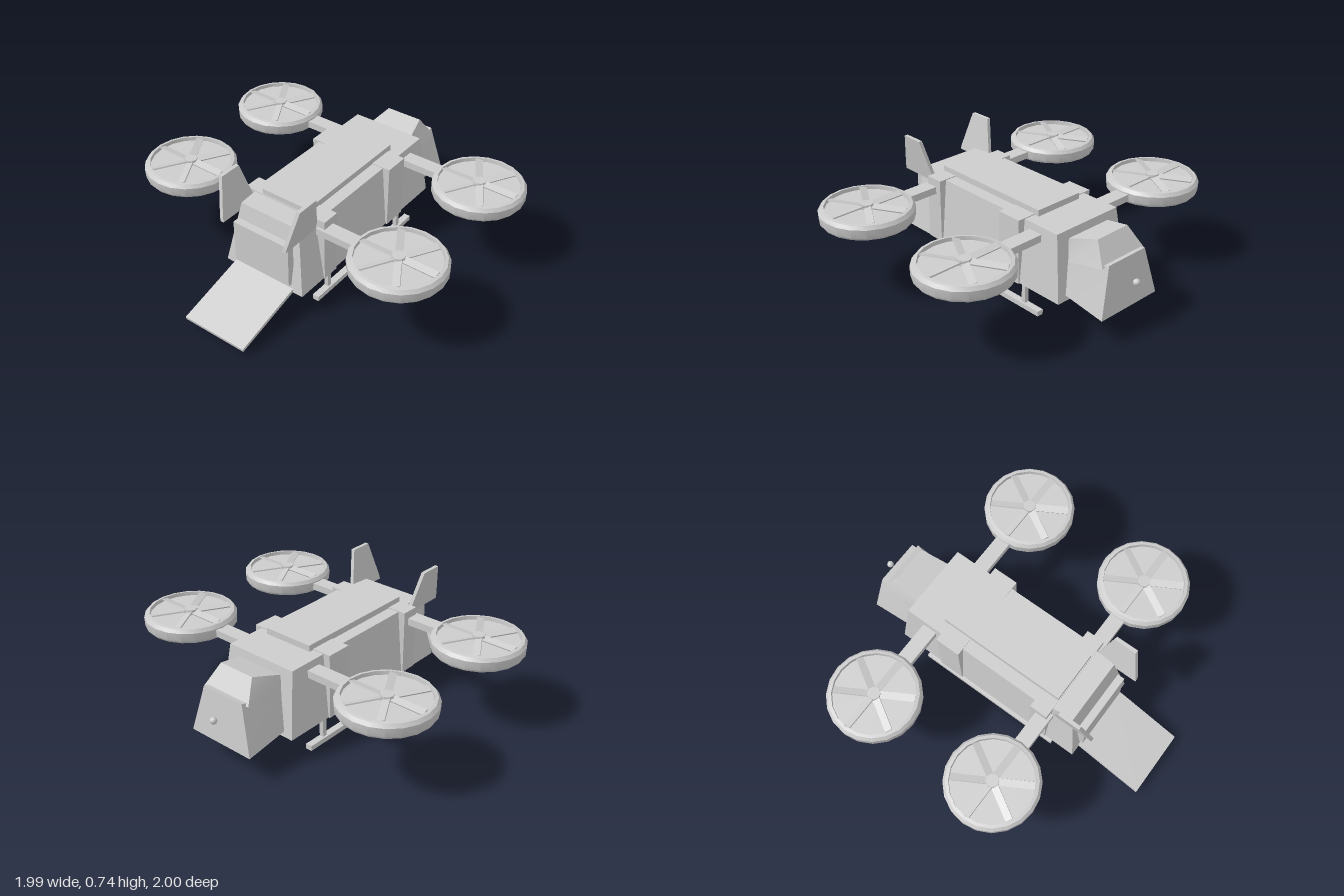
import * as THREE from 'three';
import { toCreasedNormals } from 'three/addons/utils/BufferGeometryUtils.js';

const grey = new THREE.MeshStandardMaterial({ color: 0xcccccc });
grey.name = 'light grey';

function add(parent, name, geometry, x = 0, y = 0, z = 0) {
  const mesh = new THREE.Mesh(geometry, grey);
  mesh.name = name;
  mesh.position.set(x, y, z);
  parent.add(mesh);
  return mesh;
}

// Box given by its limits in y and z
function slab(parent, name, x, width, y0, y1, z0, z1) {
  return add(parent, name, new THREE.BoxGeometry(width, y1 - y0, z1 - z0), x, (y0 + y1) / 2, (z0 + z1) / 2);
}

// Six-sided block, mirrored in x; each corner is [half width, y, z]
function block(parent, name, lowRear, highRear, highFore, lowFore) {
  const geometry = new THREE.BoxGeometry(1, 1, 1);
  const p = geometry.attributes.position;
  for (let i = 0; i < p.count; i++) {
    const [w, y, z] = p.getZ(i) > 0
      ? (p.getY(i) > 0 ? highRear : lowRear)
      : (p.getY(i) > 0 ? highFore : lowFore);
    p.setXYZ(i, Math.sign(p.getX(i)) * w, y, z);
  }
  geometry.computeVertexNormals();
  return add(parent, name, geometry);
}

// Ducted rotor: closed dish with a raised rim, hub and pitched blades
function makeRotor() {
  const rotor = new THREE.Group();
  const profile = [[0, 0], [0.257, 0], [0.268, 0.015], [0.27, 0.065], [0.255, 0.085],
    [0.237, 0.088], [0.235, 0.066], [0, 0.066]].map(([r, y]) => new THREE.Vector2(r, y));
  add(rotor, 'duct', toCreasedNormals(new THREE.LatheGeometry(profile, 20), 0.6));
  add(rotor, 'hub', new THREE.CylinderGeometry(0.038, 0.04, 0.03, 8), 0, 0.08, 0);
  for (let i = 0; i < 6; i++) {
    const blade = new THREE.BoxGeometry(0.2, 0.008, 0.042);
    blade.rotateX(0.3);
    blade.translate(0.13, 0.08, 0);
    blade.rotateY(i * Math.PI / 3);
    add(rotor, 'blade', blade);
  }
  return rotor;
}

export function createModel() {
  const model = new THREE.Group();
  model.name = 'quadRotorTransport';

  // Fuselage
  block(model, 'mainHull', [0.265, 0.155, 0.38], [0.23, 0.54, 0.38], [0.23, 0.54, -0.62], [0.265, 0.155, -0.675]);
  block(model, 'rearHull', [0.27, 0.155, 0.58], [0.2, 0.54, 0.51], [0.21, 0.54, 0.37], [0.27, 0.155, 0.37]);
  slab(model, 'belly', 0, 0.44, 0.145, 0.17, -0.38, 0.38);
  slab(model, 'roofPanel', 0, 0.314, 0.53, 0.577, -0.41, 0.38);
  slab(model, 'frontBand', 0, 0.55, 0.155, 0.545, -0.38, -0.225);
  slab(model, 'rearBand', 0, 0.55, 0.155, 0.545, 0.275, 0.385);

  // Nose and cockpit
  block(model, 'nose', [0.205, 0.19, -0.64], [0.17, 0.365, -0.62], [0.14, 0.44, -0.902], [0.215, 0.155, -0.937]);
  block(model, 'cockpit', [0.17, 0.36, -0.62], [0.15, 0.495, -0.63], [0.115, 0.542, -0.797], [0.165, 0.42, -0.88]);
  add(model, 'noseSensor', new THREE.SphereGeometry(0.02, 16, 12), 0, 0.318, -0.975);

  // Rear doorway panel and lowered ramp
  slab(model, 'rearDoor', 0, 0.38, 0.2, 0.465, 0.55, 0.594);
  block(model, 'ramp', [0.205, 0.038, 0.997], [0.205, 0.056, 1], [0.205, 0.182, 0.56], [0.205, 0.16, 0.56]);

  // Tail fin outline, drawn as (-z, y)
  const finShape = new THREE.Shape([[-0.655, 0.49], [-0.41, 0.49], [-0.4, 0.535], [-0.455, 0.735], [-0.59, 0.735],
    [-0.65, 0.52]].map(([a, b]) => new THREE.Vector2(a, b)));

  for (const side of [-1, 1]) {
    // Fins lean outward
    const fin = new THREE.ExtrudeGeometry(finShape, { depth: 0.022, bevelEnabled: false });
    fin.translate(0, 0, -0.011);
    fin.rotateY(Math.PI / 2);
    const p = fin.attributes.position;
    for (let i = 0; i < p.count; i++) p.setX(i, p.getX(i) + side * (0.215 + (p.getY(i) - 0.49) * 0.2));
    fin.computeVertexNormals();
    add(model, 'tailFin', fin);

    // Arms and rotors
    for (const z of [-0.465, 0.357]) {
      slab(model, 'rotorArm', side * 0.36, 0.26, 0.455, 0.498, z - 0.045, z + 0.045);
      const rotor = makeRotor();
      rotor.name = 'rotor';
      rotor.position.set(side * 0.727, 0.44, z);
      model.add(rotor);
    }

    // Landing skids
    slab(model, 'skid', side * 0.237, 0.04, 0, 0.03, -0.515, 0.42);
    for (const z of [-0.39, 0.302]) slab(model, 'skidStrut', side * 0.232, 0.026, 0.02, 0.17, z - 0.013, z + 0.013);
  }
  return model;
}
